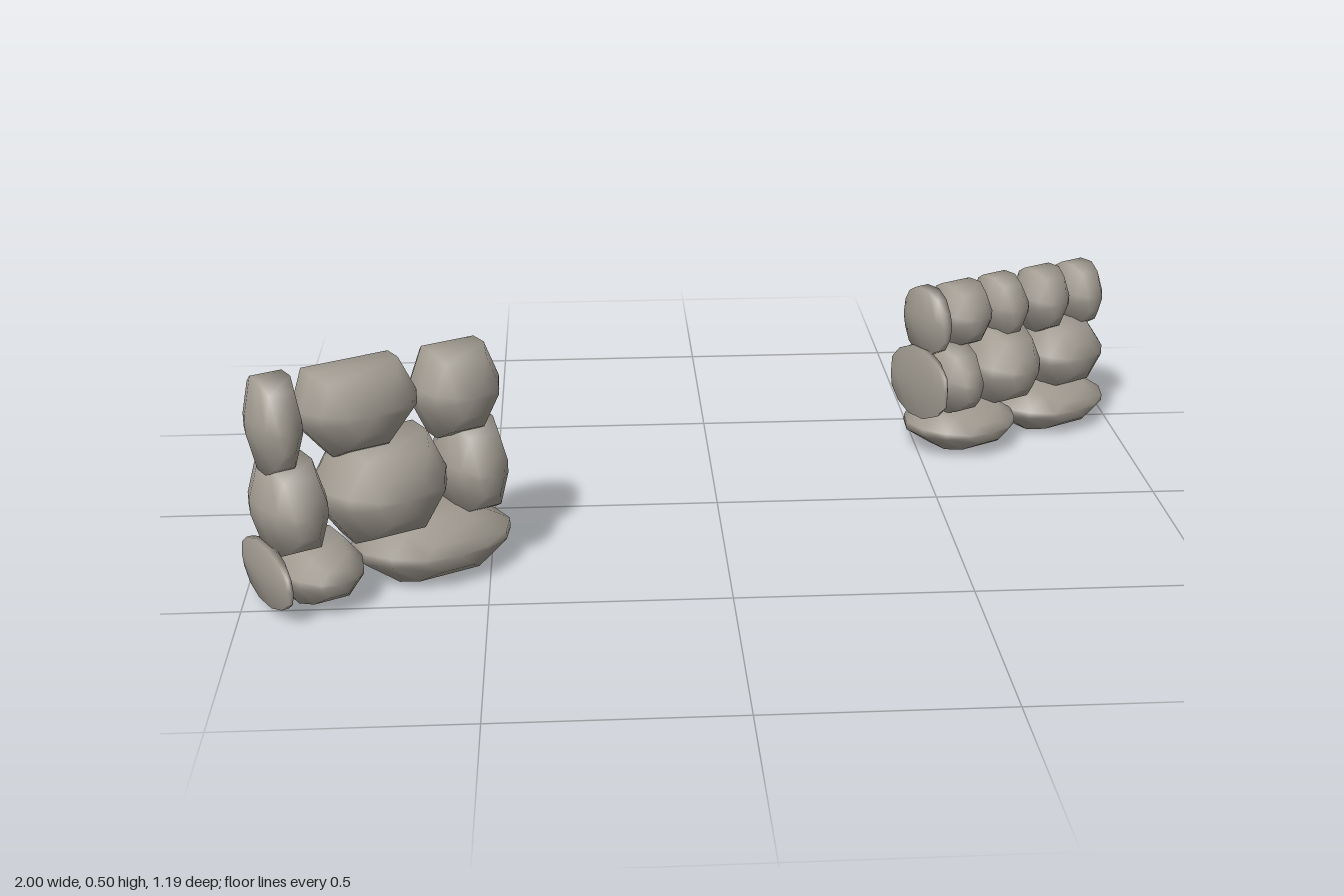
import * as THREE from 'three';

// Depth profile of a stone: [position along depth, outline scale]
const RINGS = [[-1, 0.42], [-0.7, 0.78], [-0.27, 1], [0.27, 1], [0.7, 0.78], [1, 0.42]];

// Pillow-shaped stone from an eight-cornered outline; insets pull in its four corners
function stoneGeometry(u0, u1, y0, y1, tl, tr, br, bl, depth) {
  const cx = (u0 + u1) / 2, cy = (y0 + y1) / 2;
  const w = (u1 - u0) / 2, h = (y1 - y0) / 2;
  const outline = [
    [1, -0.17], [1, 0.17], [1 - tr, 1], [tl - 1, 1],
    [-1, 0.17], [-1, -0.17], [bl - 1, -1], [1 - br, -1],
  ];
  const n = outline.length, pos = [], idx = [];
  for (const [z, s] of RINGS) {
    for (const [x, y] of outline) pos.push(cx + x * w * s, cy + y * h * s, z * depth);
  }
  for (let r = 0; r < RINGS.length - 1; r++) {
    for (let i = 0; i < n; i++) {
      const j = (i + 1) % n, a = r * n + i, b = r * n + j;
      idx.push(a, b, b + n, a, b + n, a + n);
    }
  }
  // Slightly domed front and back caps
  const last = (RINGS.length - 1) * n, back = pos.length / 3, front = back + 1;
  pos.push(cx, cy, -depth * 1.05, cx, cy, depth * 1.05);
  for (let i = 0; i < n; i++) {
    const j = (i + 1) % n;
    idx.push(front, last + i, last + j, back, j, i);
  }
  const g = new THREE.BufferGeometry();
  g.setAttribute('position', new THREE.Float32BufferAttribute(pos, 3));
  g.setIndex(idx);
  g.computeVertexNormals();
  return g;
}

// Each stone: start and end along the wall, bottom, top, corner insets (TL, TR, BR, BL), half depth
const TALL_WALL = [
  // bottom course
  [-0.275, -0.245, 0.02, 0.15, 0.4, 0.4, 0.4, 0.4, 0.115],
  [-0.245, -0.065, 0.015, 0.14, 0.4, 0.45, 0.5, 0.4, 0.115],
  [-0.06, 0.28, 0.005, 0.145, 0.25, 0.55, 0.5, 0.45, 0.12],
  // middle course
  [-0.275, -0.135, 0.125, 0.32, 0.35, 0.35, 0.35, 0.35, 0.105],
  [-0.14, 0.135, 0.115, 0.33, 0.4, 0.3, 0.45, 0.45, 0.12],
  [0.135, 0.275, 0.12, 0.325, 0.4, 0.35, 0.35, 0.4, 0.1],
  // top course
  [-0.275, -0.175, 0.3, 0.5, 0.35, 0.3, 0.5, 0.4, 0.08],
  [-0.175, 0.08, 0.31, 0.495, 0.2, 0.3, 0.55, 0.5, 0.085],
  [0.085, 0.27, 0.3, 0.49, 0.35, 0.35, 0.5, 0.4, 0.085],
];
const SHORT_WALL = [
  // bottom course
  [-0.275, -0.005, 0.01, 0.12, 0.3, 0.5, 0.5, 0.5, 0.115],
  [-0.015, 0.285, 0.005, 0.12, 0.35, 0.5, 0.55, 0.45, 0.11],
  // middle course
  [-0.28, -0.255, 0.1, 0.27, 0.4, 0.4, 0.4, 0.4, 0.1],
  [-0.255, -0.13, 0.105, 0.275, 0.35, 0.4, 0.35, 0.45, 0.115],
  [-0.13, 0.06, 0.1, 0.285, 0.5, 0.4, 0.5, 0.4, 0.115],
  [0.06, 0.275, 0.1, 0.27, 0.45, 0.5, 0.5, 0.45, 0.095],
  // top course
  [-0.275, -0.22, 0.255, 0.415, 0.3, 0.5, 0.4, 0.4, 0.075],
  [-0.22, -0.08, 0.26, 0.41, 0.4, 0.4, 0.55, 0.5, 0.075],
  [-0.08, 0.035, 0.255, 0.41, 0.25, 0.6, 0.6, 0.5, 0.07],
  [0.04, 0.165, 0.25, 0.405, 0.4, 0.4, 0.55, 0.55, 0.07],
  [0.165, 0.27, 0.245, 0.4, 0.35, 0.45, 0.45, 0.55, 0.07],
];

export function createModel() {
  const stoneGrey = new THREE.MeshStandardMaterial({ color: 0xa09a90 });
  stoneGrey.name = 'stoneGrey';

  const buildWall = (name, stones, x, z) => {
    const wall = new THREE.Group();
    wall.name = name;
    stones.forEach((s, i) => {
      const mesh = new THREE.Mesh(stoneGeometry(...s), stoneGrey);
      mesh.name = `stone${i + 1}`;
      wall.add(mesh);
    });
    wall.position.set(x, 0, z);
    wall.rotation.y = Math.PI / 6;
    return wall;
  };

  const model = new THREE.Group();
  model.name = 'stoneWalls';
  model.add(buildWall('tallWall', TALL_WALL, -0.718, 0.357));
  model.add(buildWall('shortWall', SHORT_WALL, 0.728, -0.409));
  return model;
}
